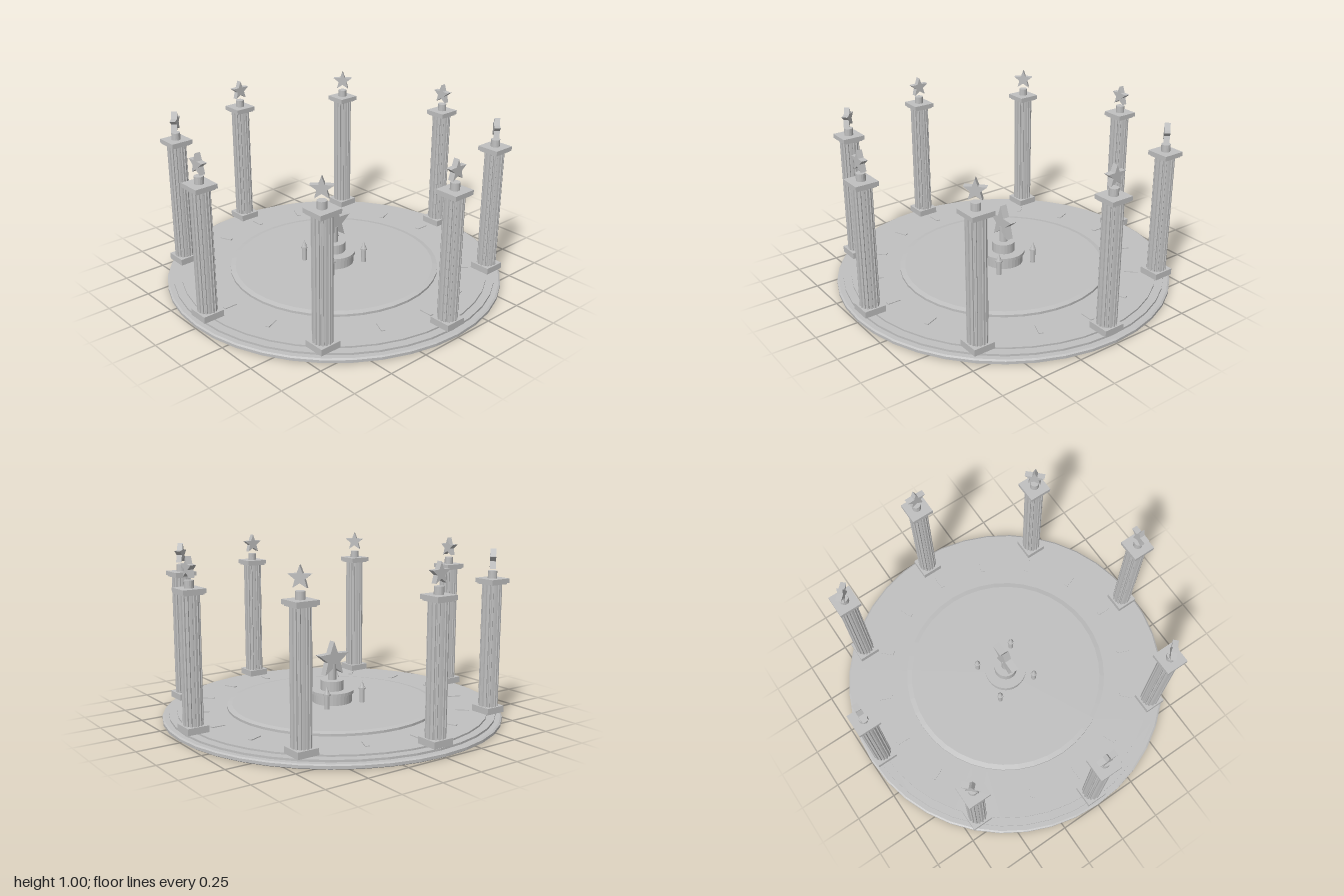
import * as THREE from 'three';

const stone = new THREE.MeshStandardMaterial({ color: 0xc0c0c0, flatShading: true });
stone.name = 'pale grey stone';

function add(parent, name, geometry, x = 0, y = 0, z = 0) {
  const mesh = new THREE.Mesh(geometry, stone);
  mesh.name = name;
  mesh.position.set(x, y, z);
  parent.add(mesh);
  return mesh;
}

// Upright cylinder or cone given by its bottom and top heights
function drum(parent, name, rTop, rBottom, y0, y1, sides, x = 0, z = 0) {
  return add(parent, name, new THREE.CylinderGeometry(rTop, rBottom, y1 - y0, sides), x, (y0 + y1) / 2, z);
}

function slab(parent, name, width, y0, y1) {
  return add(parent, name, new THREE.BoxGeometry(width, y1 - y0, width), 0, (y0 + y1) / 2, 0);
}

// Five-pointed star, centred, facing z
function starGeometry(radius, depth) {
  const points = [];
  for (let i = 0; i < 10; i++) {
    const r = i % 2 ? radius * 0.42 : radius;
    const a = Math.PI / 2 + (i * Math.PI) / 5;
    points.push(new THREE.Vector2(r * Math.cos(a), r * Math.sin(a)));
  }
  const geometry = new THREE.ExtrudeGeometry(new THREE.Shape(points), { depth, bevelEnabled: false });
  return geometry.translate(0, 0, -depth / 2);
}

// Column shaft with square-cut vertical flutes
function shaftGeometry(radius, height, flutes) {
  const points = [];
  for (let i = 0; i < flutes; i++) {
    [[0, 1], [0.45, 1], [0.58, 0.88], [0.87, 0.88]].forEach(([t, k]) => {
      const a = ((i + t) / flutes) * Math.PI * 2;
      points.push(new THREE.Vector2(radius * k * Math.cos(a), radius * k * Math.sin(a)));
    });
  }
  const geometry = new THREE.ExtrudeGeometry(new THREE.Shape(points), { depth: height, bevelEnabled: false });
  return geometry.rotateX(-Math.PI / 2);
}

export function createModel() {
  const model = new THREE.Group();
  model.name = 'starColumnPlaza';

  // Stepped round floor
  const profile = [
    [0, 0], [0.99, 0], [1, 0.006], [1, 0.022], [0.99, 0.028], [0.962, 0.028], [0.962, 0.04],
    [0.915, 0.04], [0.915, 0.05], [0.625, 0.05], [0.625, 0.064], [0.595, 0.07], [0, 0.07],
  ].map(([r, y]) => new THREE.Vector2(r, y));
  add(model, 'steppedFloor', new THREE.LatheGeometry(profile, 40));

  // Radial floor inlays
  const inlay = new THREE.BoxGeometry(0.024, 0.008, 0.08);
  for (let i = 0; i < 16; i++) {
    const a = (i * Math.PI) / 8;
    add(model, 'floorInlay', inlay, 0.77 * Math.sin(a), 0.051, 0.77 * Math.cos(a)).rotation.y = a;
  }

  // Ring of eight columns; the blocks stay square to the axes, the stars face outward
  const shaft = shaftGeometry(0.056, 0.72, 16);
  const smallStar = starGeometry(0.061, 0.033);
  for (let i = 0; i < 8; i++) {
    const a = (i * Math.PI) / 4;
    const column = new THREE.Group();
    column.name = 'column';
    column.position.set(0.917 * Math.sin(a), 0, 0.917 * Math.cos(a));
    slab(column, 'plinth', 0.127, 0.05, 0.088);
    add(column, 'flutedShaft', shaft, 0, 0.085, 0);
    slab(column, 'capitalNeck', 0.116, 0.797, 0.805);
    slab(column, 'capital', 0.134, 0.805, 0.83);
    drum(column, 'starSocket', 0.026, 0.026, 0.83, 0.872, 16);
    add(column, 'columnStar', smallStar, 0, 0.936, 0).rotation.y = a;
    model.add(column);
  }

  // Central monument
  const monument = new THREE.Group();
  monument.name = 'monument';
  drum(monument, 'lowerPedestal', 0.118, 0.118, 0.065, 0.125, 32);
  drum(monument, 'pedestalRim', 0.128, 0.128, 0.125, 0.143, 32);
  drum(monument, 'upperPedestal', 0.069, 0.069, 0.143, 0.202, 24);
  drum(monument, 'starPost', 0.025, 0.025, 0.2, 0.3, 16);
  add(monument, 'largeStar', starGeometry(0.11, 0.044), 0, 0.324, 0);
  model.add(monument);

  // Four candles around the monument
  for (const x of [-0.127, 0.127]) {
    for (const z of [-0.127, 0.127]) {
      drum(model, 'candle', 0.015, 0.015, 0.065, 0.15, 12, x, z);
      drum(model, 'candleCup', 0.02, 0.02, 0.15, 0.16, 12, x, z);
      drum(model, 'flame', 0, 0.016, 0.16, 0.205, 12, x, z);
    }
  }

  return model;
}
